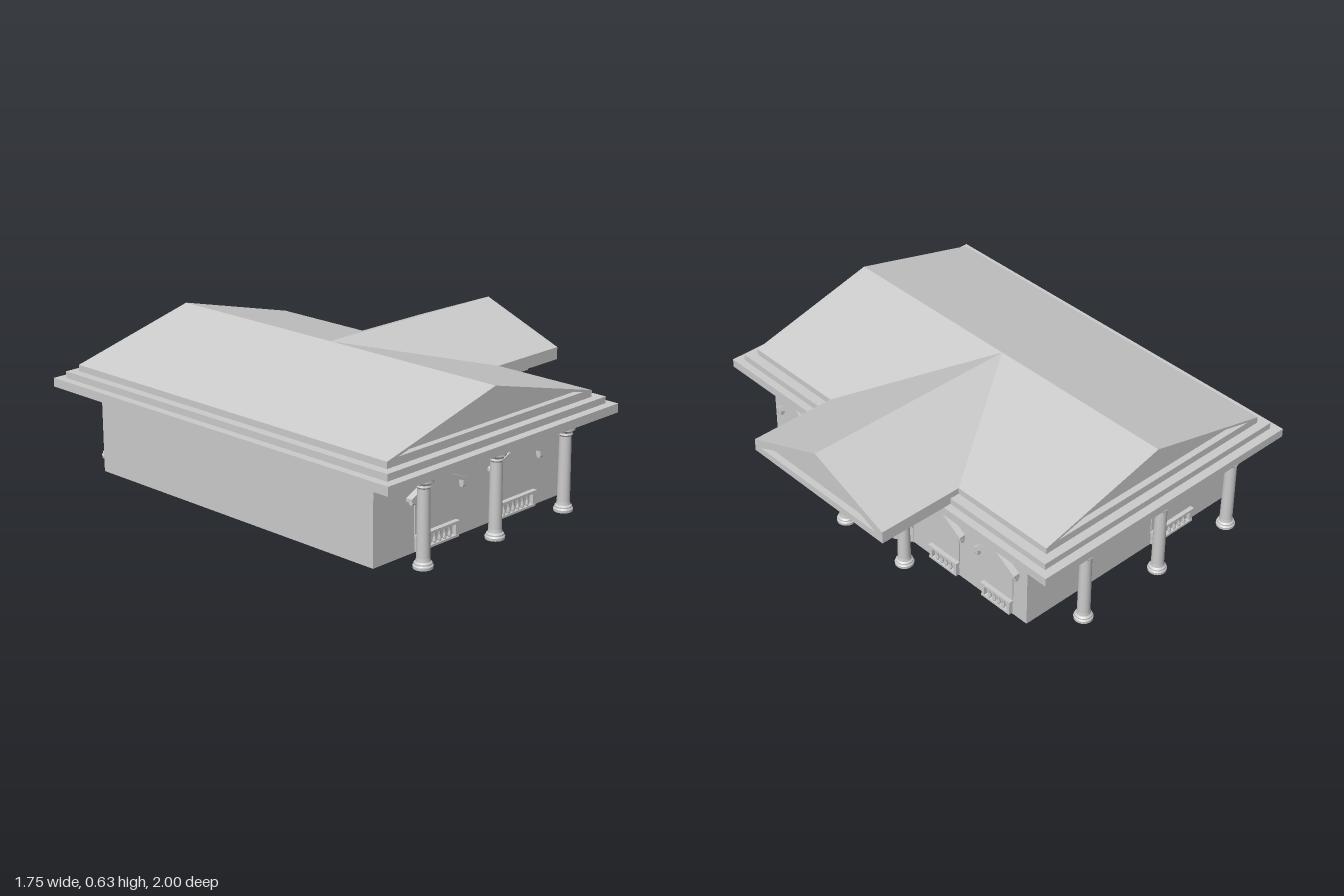
import * as THREE from 'three';

const mat = new THREE.MeshStandardMaterial({ color: 0xcccccc });
const flat = new THREE.MeshStandardMaterial({ color: 0xcccccc, flatShading: true });

function add(parent, name, geo, material = flat) {
  const m = new THREE.Mesh(geo, material);
  m.name = name;
  parent.add(m);
  return m;
}

// Box given by its limits on each axis
function block(parent, name, x0, x1, y0, y1, z0, z1) {
  const m = add(parent, name, new THREE.BoxGeometry(x1 - x0, y1 - y0, z1 - z0));
  m.position.set((x0 + x1) / 2, (y0 + y1) / 2, (z0 + z1) / 2);
  return m;
}

const poly = (pts) => pts.map(([x, y]) => new THREE.Vector2(x, y));

function prism(pts, depth, z0 = 0, hole) {
  const shape = new THREE.Shape(poly(pts));
  if (hole) shape.holes.push(new THREE.Path(poly(hole)));
  return new THREE.ExtrudeGeometry(shape, { depth, bevelEnabled: false }).translate(0, 0, z0);
}

// Gable roof along z: solid core, plus a rim around the sunken pediment at each open end
function gableRoof(name, half, yBase, yEave, yTop, inner, z0, z1, bothEnds) {
  const g = new THREE.Group();
  g.name = name;
  const rim = 0.03;
  const outline = [[-half, yBase], [half, yBase], [half, yEave], [0, yTop], [-half, yEave]];
  const [iw, iy, it] = inner;
  const hole = [[-iw, iy], [0, it], [iw, iy]];
  const start = bothEnds ? z0 + rim : z0;
  add(g, 'roofCore', prism(outline, z1 - rim - start, start));
  add(g, 'pedimentRim', prism(outline, rim, z1 - rim, hole));
  if (bothEnds) add(g, 'pedimentRim', prism(outline, rim, z0, hole));
  return g;
}

// Round column with moulded base and capital
function column(parent, x, z, h) {
  const profile = [[0, 0], [0.041, 0], [0.042, 0.012], [0.037, 0.018], [0.037, 0.024], [0.03, 0.03],
    [0.028, 0.045], [0.026, h - 0.045], [0.031, h - 0.038], [0.028, h - 0.03], [0.034, h - 0.022],
    [0.041, h - 0.018], [0.041, h], [0, h]];
  // Doubled points keep the mouldings crisp
  const pts = profile.flatMap((p) => poly([p, p]));
  const m = add(parent, 'column', new THREE.LatheGeometry(pts, 24), mat);
  m.position.set(x, 0, z);
}

// Window facing +z, with a gabled hood on brackets and a balustrade below
function makeWindow(half, hood, count) {
  const g = new THREE.Group();
  g.name = 'window';
  const eave = 0.235, top = 0.318, t = 0.022;
  const paneTop = top - t - 0.004;
  const slope = (top - eave) / hood;
  const shoulder = paneTop - slope * half;
  const pane = [[-half, 0.078], [half, 0.078], [half, shoulder], [0, paneTop], [-half, shoulder]];
  add(g, 'windowPane', prism(pane, 0.008, -0.003));
  add(g, 'windowHood', prism([[-hood, eave - 0.006], [0, top - t], [hood, eave - 0.006],
    [hood, eave + 0.008], [0, top], [-hood, eave + 0.008]], 0.033, -0.003));
  for (const s of [-1, 1]) {
    const bx = s * (half + 0.024);
    block(g, 'hoodBracket', bx - 0.01, bx + 0.01, 0.222, 0.246, -0.003, 0.024);
    const roll = add(g, 'bracketRoll', new THREE.CylinderGeometry(0.01, 0.01, 0.022, 12), mat);
    roll.rotation.z = Math.PI / 2;
    roll.position.set(bx, 0.22, 0.014);
    block(g, 'balustradePost', s * (half - 0.012) - 0.008, s * (half - 0.012) + 0.008, 0.005, 0.065, -0.003, 0.018);
  }
  block(g, 'balustradeTopRail', -half, half, 0.062, 0.074, -0.003, 0.022);
  block(g, 'balustradeBottomRail', -half + 0.004, half - 0.004, 0.004, 0.014, -0.003, 0.02);
  const pts = poly([[0.006, 0.014], [0.009, 0.024], [0.005, 0.038], [0.005, 0.046], [0.009, 0.062]]);
  for (let i = 0; i < count; i++) {
    const b = add(g, 'baluster', new THREE.LatheGeometry(pts, 10), mat);
    b.position.set(-half + 0.02 + ((i + 1) / (count + 1)) * (2 * half - 0.04), 0, 0.01);
  }
  return g;
}

export function createModel() {
  const root = new THREE.Group();
  root.name = 'porticoBuilding';
  const wallX = 0.457, wallZ = 0.815;

  // Walls
  block(root, 'walls', -0.76, wallX, 0, 0.365, -wallZ, wallZ);

  // Stepped main cornice: x limits, y limits, half depth
  for (const [x0, x1, y0, y1, z] of [
    [-0.795, 0.465, 0.356, 0.366, 0.925],
    [-0.825, 0.5, 0.366, 0.376, 0.955],
    [-0.875, 0.54, 0.376, 0.416, 1],
    [-0.837, 0.505, 0.416, 0.446, 0.96],
  ]) block(root, 'cornice', x0, x1, y0, y1, -z, z);

  // Main roof, ridge along z
  const roof = gableRoof('mainRoof', 0.628, 0.446, 0.475, 0.635, [0.565, 0.48, 0.624], -0.92, 0.92, true);
  roof.position.x = -0.168;
  root.add(roof);

  // Portico roof, ridge along x
  const porch = gableRoof('porticoRoof', 0.41, 0.418, 0.475, 0.635, [0.37, 0.45, 0.607], -0.168, 0.87, false);
  porch.rotation.y = Math.PI / 2;
  root.add(porch);

  // Stepped portico entablature
  for (const [x1, y0, y1, z] of [
    [0.695, 0.325, 0.343, 0.25],
    [0.755, 0.343, 0.36, 0.28],
    [0.8, 0.36, 0.377, 0.3],
    [0.835, 0.377, 0.418, 0.32],
  ]) block(root, 'porticoEntablature', 0.44, x1, y0, y1, -z, z);

  // Columns at both gable ends and under the portico
  for (const s of [-1, 1]) {
    for (const x of [-0.615, -0.183, 0.258]) column(root, x, s * 0.945, 0.376);
    column(root, 0.575, s * 0.192, 0.326);
  }

  // Windows: two at the front, one at the back, four on the portico side
  for (const [x, side] of [[-0.4, 1], [0.09, 1], [-0.4, -1]]) {
    const w = makeWindow(0.126, 0.173, 6);
    w.position.set(x, 0, side * wallZ);
    if (side < 0) w.rotation.y = Math.PI;
    root.add(w);
  }
  for (const z of [-0.647, -0.323, 0.323, 0.647]) {
    const w = makeWindow(0.088, 0.122, 4);
    w.position.set(wallX, 0, z);
    w.rotation.y = Math.PI / 2;
    root.add(w);
  }

  // Entrance surround and half-open door
  block(root, 'entranceSurround', 0.45, wallX + 0.003, 0, 0.226, -0.12, 0.12);
  const door = new THREE.Group();
  door.name = 'door';
  block(door, 'doorLeaf', 0, 0.088, 0, 0.156, -0.004, 0.004);
  const knob = add(door, 'doorKnob', new THREE.SphereGeometry(0.006, 10, 8), mat);
  knob.position.set(0.078, 0.075, -0.008);
  door.position.set(0.458, 0, -0.112);
  door.rotation.y = -Math.PI / 2 + 0.56;
  root.add(door);
  block(root, 'doorPost', 0.45, 0.485, 0, 0.156, -0.032, 0);
  return root;
}
